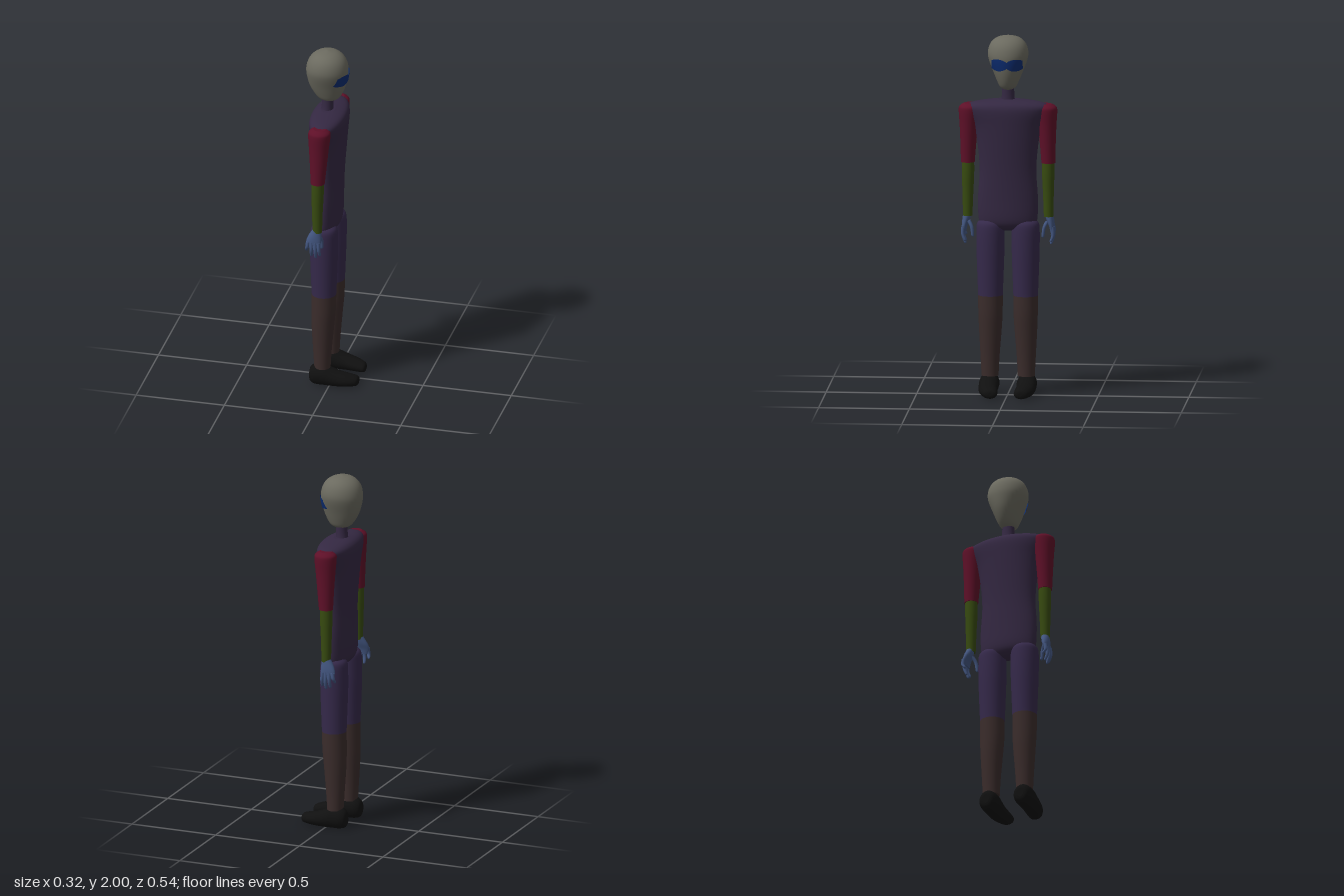
import * as THREE from 'three';

const mat = (name, color) => {
  const m = new THREE.MeshStandardMaterial({ color });
  m.name = name;
  return m;
};

// Smoothly refine a list of cross-sections [height, cx, cz, rx, rz]
function refine(rings, steps = 4) {
  const cubic = (a, b, c, d, t) => b + 0.5 * t * (c - a + t * (2 * a - 5 * b + 4 * c - d + t * (3 * (b - c) + d - a)));
  const at = (i) => rings[Math.max(0, Math.min(rings.length - 1, i))];
  const out = [];
  for (let i = 0; i < rings.length - 1; i++) {
    for (let s = 0; s < steps; s++) {
      out.push(at(i).map((_, k) => cubic(at(i - 1)[k], at(i)[k], at(i + 1)[k], at(i + 2)[k], s / steps)));
    }
  }
  out.push(at(rings.length - 1).slice());
  return out;
}

// Closed body from elliptical cross-sections stacked along y
function loft(rings, sides = 28) {
  const r = refine(rings);
  const pos = [], idx = [];
  const addRing = ([y, cx, cz, rx, rz]) => {
    for (let j = 0; j < sides; j++) {
      const a = (j / sides) * Math.PI * 2;
      pos.push(cx + rx * Math.cos(a), y, cz + rz * Math.sin(a));
    }
  };
  r.forEach(addRing);
  for (let i = 0; i < r.length - 1; i++) {
    for (let j = 0; j < sides; j++) {
      const k = (j + 1) % sides;
      const a = i * sides + j, b = i * sides + k, c = b + sides, d = a + sides;
      idx.push(a, d, c, a, c, b);
    }
  }
  // Flat caps with their own vertices
  for (const [ring, top] of [[r[0], false], [r[r.length - 1], true]]) {
    const base = pos.length / 3;
    addRing(ring);
    pos.push(ring[1], ring[0], ring[2]);
    for (let j = 0; j < sides; j++) {
      const k = (j + 1) % sides;
      idx.push(base + sides, base + (top ? k : j), base + (top ? j : k));
    }
  }
  const g = new THREE.BufferGeometry();
  g.setAttribute('position', new THREE.Float32BufferAttribute(pos, 3));
  g.setIndex(idx);
  g.computeVertexNormals();
  return g;
}

const headRings = [
  [1.7, -0.035, 0, 0.03, 0.025], [1.715, -0.035, 0, 0.058, 0.045], [1.75, -0.038, 0, 0.083, 0.062],
  [1.8, -0.041, 0, 0.104, 0.082], [1.86, -0.042, 0, 0.116, 0.105], [1.9, -0.042, 0, 0.116, 0.112],
  [1.94, -0.042, 0, 0.105, 0.104], [1.97, -0.042, 0, 0.083, 0.085], [1.99, -0.042, 0, 0.05, 0.054],
  [2.0, -0.042, 0, 0.005, 0.005],
];

// Goggle-shaped sheet that follows the face
function visorGeometry() {
  const rings = refine(headRings);
  const g = new THREE.PlaneGeometry(1, 1, 32, 8);
  const p = g.attributes.position;
  for (let i = 0; i < p.count; i++) {
    const u = p.getX(i) * 2;
    const half = 0.016 + 0.018 * Math.pow(Math.sin(Math.PI * Math.min(1, Math.abs(u) * 0.88)), 0.7);
    const y = 1.847 + p.getY(i) * 2 * half;
    const n = rings.findIndex((r) => r[0] > y);
    const [lo, hi] = [rings[n - 1], rings[n]];
    const s = lo.map((v, k) => THREE.MathUtils.lerp(v, hi[k], (y - lo[0]) / (hi[0] - lo[0])));
    const z = -u * 0.086;
    p.setXYZ(i, s[1] + (s[3] + 0.005) * Math.sqrt(1 - (z / (s[4] + 0.005)) ** 2), y, z);
  }
  g.computeVertexNormals();
  return g;
}

export function createModel() {
  const skin = mat('head grey', 0x6b6a5f);
  const suit = mat('suit purple', 0x35294a);
  const torsoMat = mat('torso purple', 0x342842);
  const red = mat('sleeve red', 0x5e1028);
  const green = mat('forearm green', 0x374a10);
  const blue = mat('hand blue', 0x42557f);
  const brown = mat('shin brown', 0x3a2c2b);
  const black = mat('shoe black', 0x101010);
  const visorMat = mat('visor blue', 0x0c2c70);
  visorMat.side = THREE.DoubleSide;

  const model = new THREE.Group();
  model.name = 'figure';
  const add = (name, geometry, material, parent = model) => {
    const m = new THREE.Mesh(geometry, material);
    m.name = name;
    parent.add(m);
    return m;
  };

  // Head, visor, neck and torso; the figure looks along +x
  add('head', loft(headRings, 36), skin);
  add('visor', visorGeometry(), visorMat);
  add('neck', loft([[1.61, -0.045, 0, 0.042, 0.05], [1.65, -0.042, 0, 0.033, 0.036], [1.74, -0.038, 0, 0.03, 0.033]]), torsoMat);
  add('torso', loft([
    [0.915, -0.035, 0, 0.025, 0.1], [0.935, -0.035, 0, 0.055, 0.145], [0.98, -0.035, 0, 0.073, 0.162],
    [1.1, -0.034, 0, 0.076, 0.165], [1.25, -0.032, 0, 0.08, 0.156], [1.4, -0.031, 0, 0.09, 0.168],
    [1.5, -0.031, 0, 0.097, 0.188], [1.57, -0.031, 0, 0.101, 0.222], [1.605, -0.031, 0, 0.097, 0.232],
    [1.625, -0.031, 0, 0.085, 0.2], [1.637, -0.034, 0, 0.065, 0.14], [1.645, -0.038, 0, 0.04, 0.06],
  ], 40), torsoMat);

  for (const s of [1, -1]) {
    const side = s > 0 ? 'right' : 'left';

    // Arm
    const arm = new THREE.Group();
    arm.name = side + 'Arm';
    model.add(arm);
    add('upperArm', loft([
      [1.29, -0.041, 0.222 * s, 0.039, 0.038], [1.4, -0.038, 0.219 * s, 0.047, 0.044],
      [1.5, -0.036, 0.216 * s, 0.055, 0.051], [1.58, -0.034, 0.212 * s, 0.062, 0.06],
      [1.605, -0.034, 0.21 * s, 0.057, 0.056], [1.62, -0.034, 0.208 * s, 0.035, 0.035],
    ]), red, arm);
    add('forearm', loft([
      [0.99, -0.043, 0.223 * s, 0.026, 0.026], [1.12, -0.043, 0.222 * s, 0.03, 0.03],
      [1.22, -0.042, 0.221 * s, 0.034, 0.034], [1.295, -0.042, 0.221 * s, 0.034, 0.034],
    ]), green, arm);

    // Hand: palm, four curled fingers and an inner thumb
    const hand = new THREE.Group();
    hand.name = side + 'Hand';
    arm.add(hand);
    add('palm', loft([
      [0.9, -0.058, 0.242 * s, 0.032, 0.01], [0.93, -0.06, 0.241 * s, 0.042, 0.015],
      [0.965, -0.055, 0.233 * s, 0.038, 0.021], [1.005, -0.045, 0.224 * s, 0.024, 0.023],
    ], 20), blue, hand);
    for (const [x, tipX, tipY] of [[-0.09, -0.1, 0.875], [-0.07, -0.073, 0.845], [-0.05, -0.048, 0.835], [-0.031, -0.026, 0.85]]) {
      add('finger', loft([
        [tipY, tipX, 0.236 * s, 0.004, 0.004], [tipY + 0.008, tipX, 0.238 * s, 0.008, 0.008],
        [(tipY + 0.93) / 2, (x + tipX) / 2, 0.249 * s, 0.01, 0.01], [0.935, x, 0.245 * s, 0.012, 0.012],
      ], 10), blue, hand);
    }
    add('thumb', loft([
      [0.875, -0.026, 0.193 * s, 0.004, 0.004], [0.885, -0.025, 0.194 * s, 0.009, 0.008],
      [0.93, -0.026, 0.2 * s, 0.011, 0.01], [0.965, -0.037, 0.218 * s, 0.013, 0.013],
    ], 10), blue, hand);

    // Leg
    const leg = new THREE.Group();
    leg.name = side + 'Leg';
    model.add(leg);
    add('thigh', loft([
      [0.55, -0.037, 0.097 * s, 0.068, 0.068], [0.68, -0.037, 0.097 * s, 0.073, 0.073],
      [0.8, -0.037, 0.097 * s, 0.077, 0.077], [0.9, -0.036, 0.097 * s, 0.077, 0.078],
      [0.95, -0.036, 0.096 * s, 0.072, 0.075], [0.97, -0.036, 0.095 * s, 0.055, 0.06],
    ]), suit, leg);
    add('shin', loft([
      [0.1, -0.045, 0.1 * s, 0.045, 0.047], [0.2, -0.045, 0.1 * s, 0.051, 0.052],
      [0.35, -0.043, 0.098 * s, 0.062, 0.062], [0.45, -0.039, 0.097 * s, 0.067, 0.067],
      [0.555, -0.037, 0.097 * s, 0.068, 0.068],
    ]), brown, leg);

    // Shoe: sections run from heel to toe, then turned to point forward
    const shoe = loft([
      [-0.115, -0.06, 0.103 * s, 0.025, 0.02], [-0.108, -0.06, 0.103 * s, 0.045, 0.038],
      [-0.08, -0.063, 0.103 * s, 0.06, 0.052], [-0.03, -0.063, 0.104 * s, 0.06, 0.055],
      [0.0, -0.056, 0.104 * s, 0.053, 0.055], [0.05, -0.047, 0.103 * s, 0.043, 0.053],
      [0.1, -0.041, 0.096 * s, 0.035, 0.05], [0.14, -0.036, 0.086 * s, 0.028, 0.04],
      [0.153, -0.035, 0.083 * s, 0.02, 0.028], [0.157, -0.035, 0.082 * s, 0.008, 0.012],
    ]);
    // Flatten the sole
    const p = shoe.attributes.position;
    for (let i = 0; i < p.count; i++) p.setX(i, Math.min(p.getX(i), -0.008));
    shoe.translate(0.008, 0, 0);
    shoe.computeVertexNormals();
    shoe.rotateZ(-Math.PI / 2);
    add('shoe', shoe, black, leg);
  }
  return model;
}
